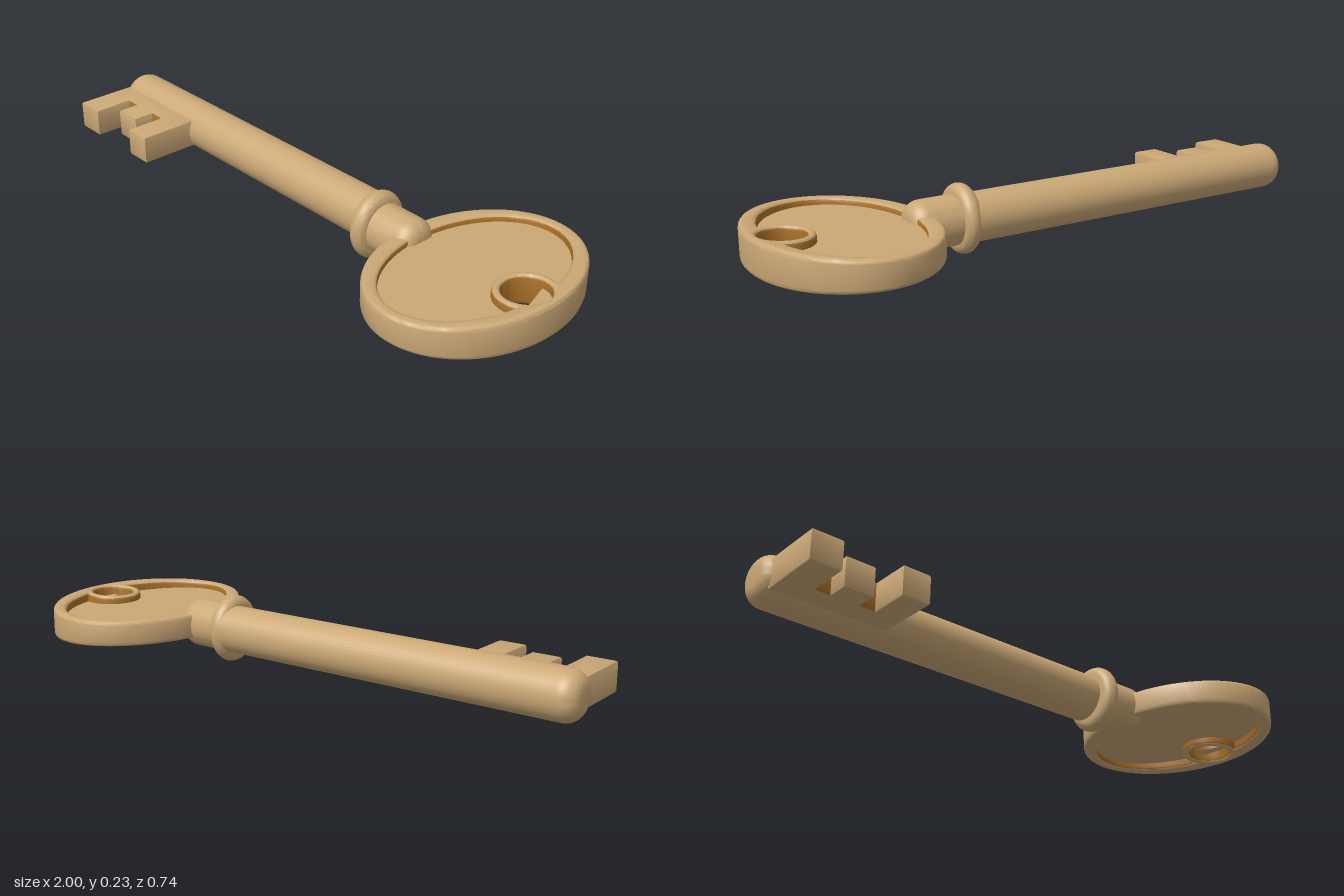
import * as THREE from 'three';
import { toCreasedNormals } from 'three/addons/utils/BufferGeometryUtils.js';

const brass = new THREE.MeshStandardMaterial({ color: 0xcba876 });
brass.name = 'brass';
const patina = new THREE.MeshStandardMaterial({ color: 0xa87028 });
patina.name = 'dark patina';
const MID = 0.114; // height of the key's axis

const V = (x, y) => new THREE.Vector2(x, y);

// Turned part along x from [position, radius] points, with a smooth surface
function turned(name, points, z = 0, scaleY = 1, scaleZ = 1) {
  const profile = points.map(([x, r]) => V(r, x));
  const geo = new THREE.LatheGeometry(profile, 48);
  geo.rotateZ(-Math.PI / 2);
  geo.scale(1, scaleY, scaleZ);
  const mesh = new THREE.Mesh(toCreasedNormals(geo, 0.7), brass);
  mesh.name = name;
  mesh.position.set(0, MID, z);
  return mesh;
}

// Flat part drawn in x and z, extruded around the axis height with rounded edges
function flat(shape, thickness, bevel, segments = 3) {
  const geo = new THREE.ExtrudeGeometry(shape, {
    depth: thickness - 2 * bevel, bevelEnabled: bevel > 0, bevelSize: bevel,
    bevelThickness: bevel, bevelOffset: -bevel, bevelSegments: segments, curveSegments: 64,
  });
  geo.translate(0, 0, bevel - thickness / 2);
  geo.rotateX(Math.PI / 2);
  return geo;
}

// Give the dark material to every face that passes the test(centre, normal)
function paintDark(geo, test) {
  const p = geo.attributes.position;
  const tri = new THREE.Triangle();
  const c = new THREE.Vector3(), n = new THREE.Vector3();
  geo.clearGroups();
  let start = 0, current = -1;
  for (let i = 0; i < p.count; i += 3) {
    tri.setFromAttributeAndIndices(p, i, i + 1, i + 2);
    tri.getMidpoint(c);
    tri.getNormal(n);
    const m = test(c, n) ? 1 : 0;
    if (m !== current) {
      if (current >= 0) geo.addGroup(start, i - start, current);
      start = i;
      current = m;
    }
  }
  geo.addGroup(start, p.count - start, current);
}

function ellipsePoints(cx, rx, rz, from = 0, to = Math.PI * 2, count = 96) {
  return Array.from({ length: count }, (_, i) => {
    const a = from + ((to - from) * i) / (count - 1 + (to - from >= 6.28 ? 1 : 0));
    return V(cx + rx * Math.cos(a), rz * Math.sin(a));
  });
}

function createBow() {
  const bow = new THREE.Group();
  bow.name = 'bow';
  const cx = 0.711, rx = 0.286, rz = 0.372;
  const holeX = 0.895, holeR = 0.073, bossR = 0.098;

  // Recess outline: an oval interrupted by the boss around the hole
  const recX = 0.712, recRx = 0.228, recRz = 0.332;
  let a = 0;
  while (Math.hypot(recX + recRx * Math.cos(a) - holeX, recRz * Math.sin(a)) < bossR) a += 0.005;
  const phi = Math.atan2(recRz * Math.sin(a), recX + recRx * Math.cos(a) - holeX);
  const recess = [
    ...ellipsePoints(recX, recRx, recRz, a, Math.PI * 2 - a, 90),
    ...ellipsePoints(holeX, bossR, bossR, Math.PI * 2 - phi, phi, 32).slice(1, -1),
  ];

  const shape = new THREE.Shape(ellipsePoints(cx, rx, rz));
  shape.holes.push(new THREE.Path(recess), new THREE.Path(ellipsePoints(holeX, holeR, holeR, 0, Math.PI * 2, 48)));
  let rim = flat(shape, 0.092, 0.012);

  // The rim grows thicker towards its far end
  const p = rim.attributes.position;
  for (let i = 0; i < p.count; i++) {
    const t = (p.getX(i) - 0.425) / 0.572;
    p.setY(i, p.getY(i) * (0.042 + 0.016 * t * t) / 0.046);
  }
  rim = toCreasedNormals(rim, 0.6);
  paintDark(rim, (c, n) =>
    Math.abs(n.y) < 0.35 && ((c.x - cx) / rx) ** 2 + (c.z / rz) ** 2 < 0.87);
  const rimMesh = new THREE.Mesh(rim, [brass, patina]);
  rimMesh.name = 'bowRim';

  // Thin web filling the recess
  const web = new THREE.Shape(ellipsePoints(recX, recRx + 0.01, recRz + 0.01));
  web.holes.push(new THREE.Path(ellipsePoints(holeX, 0.085, 0.085, 0, Math.PI * 2, 48)));
  // Keep the web's edge inside the rim beside the hole
  const webMesh = new THREE.Mesh(flat(web, 0.044, 0), brass);
  webMesh.name = 'bowWeb';
  bow.add(rimMesh, webMesh);
  bow.position.y = MID;
  return bow;
}

function createBit() {
  const outline = [
    [-0.975, 0], [-0.58, 0], [-0.58, 0.25], [-0.675, 0.25], [-0.675, 0.115],
    [-0.727, 0.115], [-0.727, 0.187], [-0.825, 0.187], [-0.825, 0.115],
    [-0.873, 0.115], [-0.873, 0.25], [-0.975, 0.25],
  ];
  const geo = toCreasedNormals(flat(new THREE.Shape(outline.map(([x, z]) => V(x, z))), 0.1, 0.008, 2), 0.6);
  // Dark floors of the two notches
  paintDark(geo, (c, n) => n.z > 0.8 && c.z < 0.13);
  const bit = new THREE.Mesh(geo, [brass, patina]);
  bit.name = 'bit';
  bit.position.y = MID;
  return bit;
}

export function createModel() {
  const key = new THREE.Group();
  key.name = 'key';

  // Shaft with a rounded tip
  const tip = Array.from({ length: 9 }, (_, i) => {
    const a = (i / 8) * Math.PI / 2;
    return [-0.945 - 0.053 * Math.cos(a), 0.03 + 0.05 * Math.sin(a)];
  });
  const shaft = turned('shaft', [[-0.998, 0], ...tip, [0.3, 0.08], [0.3, 0]], -0.02);
  shaft.position.y = MID + 0.004;

  // Collar ring, rounded in section
  const ring = Array.from({ length: 13 }, (_, i) => {
    const a = (i / 12) * Math.PI;
    return [0.306 - 0.03 * Math.cos(a), 0.083 + 0.031 * Math.sin(a)];
  });
  const collar = turned('collar', [[0.276, 0], ...ring, [0.336, 0]], 0, 1, 0.91);

  // Neck with a rounded end running into the bow
  const end = Array.from({ length: 9 }, (_, i) => {
    const a = (i / 8) * Math.PI / 2;
    return [0.445 + 0.053 * Math.sin(a), 0.03 + 0.05 * Math.cos(a)];
  });
  const neck = turned('neck', [[0.31, 0], [0.31, 0.08], ...end, [0.498, 0]], -0.002, 1.02, 0.97);

  key.add(shaft, collar, neck, createBit(), createBow());
  return key;
}
